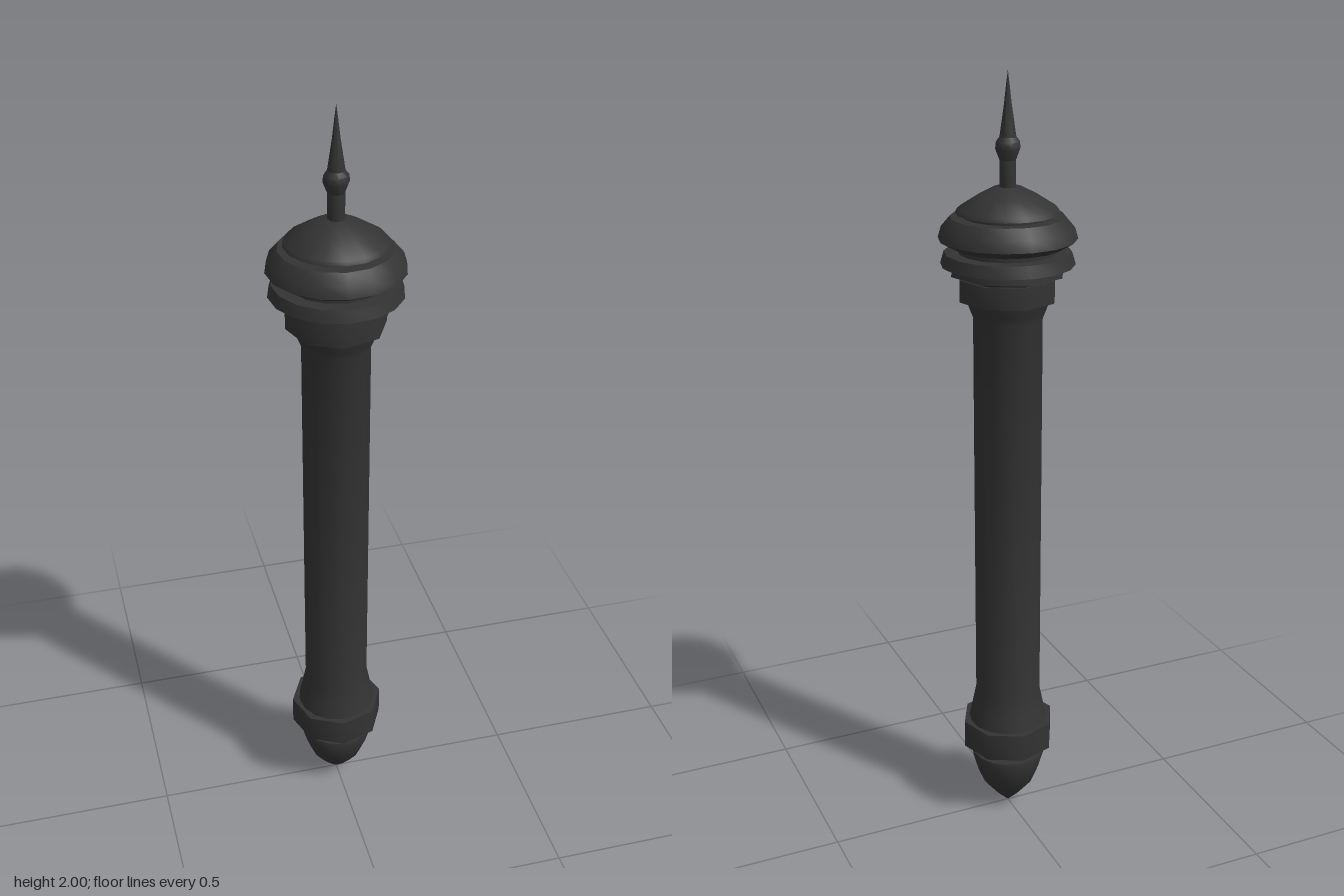
import * as THREE from 'three';
import { toCreasedNormals } from 'three/addons/utils/BufferGeometryUtils.js';

const PHASE = -0.075; // slight twist shared by all the turned parts

export function createModel() {
  const group = new THREE.Group();
  const material = new THREE.MeshStandardMaterial({ color: 0x333333 });

  // Turned part: profile of [radius, height] pairs from bottom to top
  function turned(name, sides, profile, crease = 0.8) {
    const points = profile.map(([r, y]) => new THREE.Vector2(r, y));
    const lathe = new THREE.LatheGeometry(points, sides, PHASE);
    const mesh = new THREE.Mesh(toCreasedNormals(lathe, crease), material);
    mesh.name = name;
    group.add(mesh);
  }

  // Pointed pommel and its narrow neck
  turned('pommel', 16, [
    [0, 0.005], [0.035, 0.04], [0.068, 0.08], [0.085, 0.12],
    [0.098, 0.165], [0.096, 0.178], [0, 0.178],
  ]);
  turned('pommelNeck', 8, [[0, 0.17], [0.076, 0.17], [0.076, 0.19], [0.11, 0.208], [0, 0.208]]);

  // Lower collar
  turned('lowerCollar', 8, [[0, 0.205], [0.124, 0.205], [0.124, 0.28], [0, 0.28]]);

  // Long shaft, flared at both ends
  turned('shaft', 16, [
    [0.106, 0.275], [0.096, 0.32], [0.086, 0.37], [0.086, 1.405], [0.094, 1.425], [0.106, 1.46],
  ]);

  // Stepped upper collars
  turned('upperCollar', 8, [[0, 1.455], [0.124, 1.455], [0.124, 1.51], [0, 1.51]]);
  turned('middleRing', 8, [[0, 1.508], [0.11, 1.508], [0.145, 1.52], [0.142, 1.545], [0, 1.545]]);
  turned('flaredRing', 16, [[0, 1.542], [0.165, 1.542], [0.156, 1.572], [0, 1.572]]);

  // Rounded head with the recess beneath it
  turned('headNeck', 16, [[0.122, 1.565], [0.122, 1.595]]);
  turned('head', 16, [
    [0, 1.585], [0.135, 1.585], [0.17, 1.605], [0.162, 1.632], [0.14, 1.658], [0, 1.658],
  ]);

  // Low conical roof
  turned('roofNeck', 16, [[0.11, 1.655], [0.11, 1.675]]);
  turned('roof', 16, [[0, 1.667], [0.127, 1.667], [0.122, 1.677], [0.075, 1.707], [0.035, 1.728], [0, 1.73]]);

  // Needle spire with a bead
  turned('spireRod', 8, [[0.021, 1.72], [0.021, 1.8]]);
  turned('spireBead', 8, [[0, 1.79], [0.02, 1.79], [0.032, 1.82], [0.03, 1.835], [0.018, 1.85], [0, 1.85]]);
  turned('spireNeedle', 8, [[0.023, 1.835], [0.01, 1.92], [0.004, 1.97], [0, 2]]);

  return group;
}
